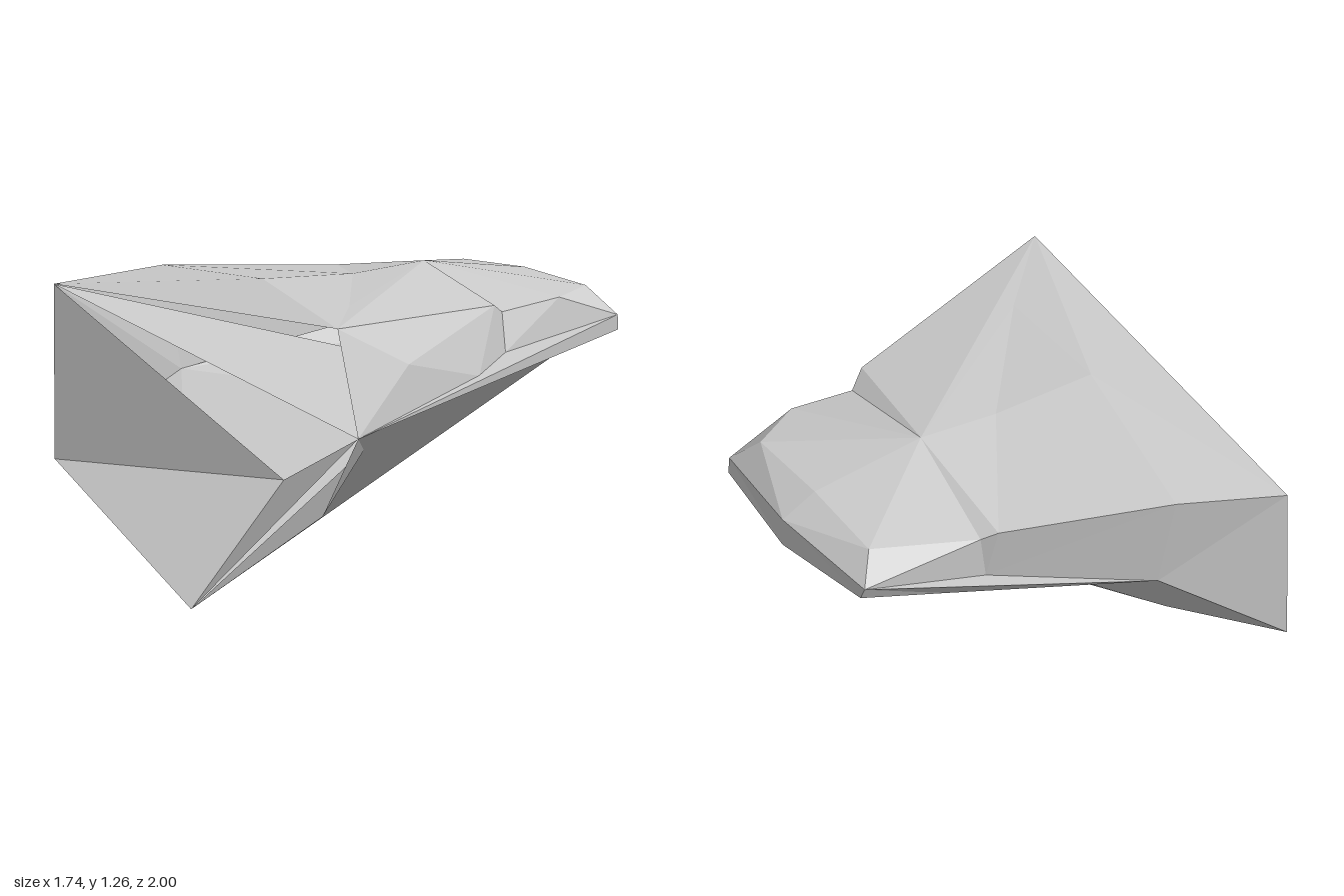
import * as THREE from 'three';

// Corner points of the faceted shard
const P = {
  // broken end
  keel: [-0.87, 0, -0.07], frontLow: [-0.86, 0.47, 0.78], frontRim: [-0.85, 0.8, 1],
  frontTop: [-0.84, 1.21, 0.85], backTop: [-0.85, 1.15, -1], backLow: [-0.86, 0.47, -0.98],
  hollow: [-0.45, 0.47, -0.04],
  // top
  crestA: [-0.53, 1.26, -0.07], crestMid: [-0.1, 1.24, -0.07], crestB: [0.24, 1.26, -0.07],
  crestC: [0.72, 1.19, -0.07], topFront: [-0.53, 1.225, 0.5],
  edgeA: [0.14, 1.17, 0.53], edgeB: [0.22, 1.13, 0.47], edgeC: [0.5, 1.16, 0.46], edgeD: [0.72, 1.17, 0.33],
  backA: [-0.42, 1.2, -0.88], backB: [0.24, 1.17, -0.645], backC: [0.3, 1.14, -0.61], backD: [0.72, 1.17, -0.47],
  // nose
  noseFront: [0.8, 1.06, 0.43], noseFrontLow: [0.81, 1.0, 0.42], tip: [0.865, 1.11, -0.07],
  tipLow: [0.865, 0.99, -0.07], noseBack: [0.8, 1.07, -0.57], noseBackLow: [0.8, 1.01, -0.54],
  // side notches and underside
  notchA: [-0.5, 1.04, 0.85], notchB: [-0.04, 0.93, 0.68], notchC: [0.2, 0.98, 0.52],
  dent: [-0.62, 0.7, 0.72], frontBelly: [0.5, 0.92, 0.41],
  backRim: [-0.38, 0.8, -0.81], backNotch: [0.27, 0.95, -0.6],
  bellyDent: [0.15, 0.73, -0.07], belly: [0.38, 0.8, 0.1], backBelly: [0.42, 0.89, -0.55],
};

const material = new THREE.MeshStandardMaterial({ color: 0xcccccc, flatShading: true, side: THREE.DoubleSide });

// Each entry is a fan: hub point followed by its outline, counter-clockwise from outside
function facets(name, fans) {
  const pos = [];
  for (const fan of fans) {
    const [hub, ...rim] = fan.split(' ').map((key) => P[key]);
    for (let i = 0; i < rim.length - 1; i++) pos.push(...hub, ...rim[i], ...rim[i + 1]);
  }
  const geometry = new THREE.BufferGeometry();
  geometry.setAttribute('position', new THREE.Float32BufferAttribute(pos, 3));
  geometry.computeVertexNormals();
  const mesh = new THREE.Mesh(geometry, material);
  mesh.name = name;
  return mesh;
}

export function createModel() {
  const group = new THREE.Group();
  group.name = 'rockShard';
  group.add(
    facets('topSurface', [
      'crestA frontTop topFront crestMid backA backTop frontTop',
      'topFront frontTop crestB crestMid',
      'crestMid crestB backB backA',
      'crestB frontTop edgeA edgeB edgeC edgeD crestC backD backC backB',
    ]),
    facets('nose', [
      'crestC edgeD tip backD',
      'edgeD noseFront tip',
      'edgeC noseFront edgeD',
      'tip noseBack backD',
      'backD noseBack backC',
      'noseFront noseFrontLow tipLow tip',
      'tip tipLow noseBackLow noseBack',
    ]),
    // undercut band and ledge along the front
    facets('frontNotch', [
      'notchA notchB edgeA frontTop frontRim',
      'notchC edgeB edgeA notchB',
      'notchC noseFront edgeC edgeB',
      'frontRim notchB notchA',
      'frontRim noseFront notchC notchB',
    ]),
    facets('frontUnderside', [
      'frontRim frontLow dent',
      'frontLow keel dent',
      'frontRim dent frontBelly noseFrontLow noseFront',
      'keel frontBelly dent',
      'frontBelly keel belly tipLow noseFrontLow',
    ]),
    facets('backSide', [
      'backRim keel backLow backTop backA backNotch',
      'backNotch backA backB backC noseBack backRim',
      'backRim noseBack backBelly bellyDent keel',
      'bellyDent backBelly belly keel',
      'backBelly noseBack noseBackLow belly',
      'belly noseBackLow tipLow',
    ]),
    // sunken end wall with a slot above it
    facets('brokenEnd', ['hollow backTop backLow keel frontRim']),
    facets('slotFloor', ['backTop frontRim notchB']),
  );
  return group;
}
